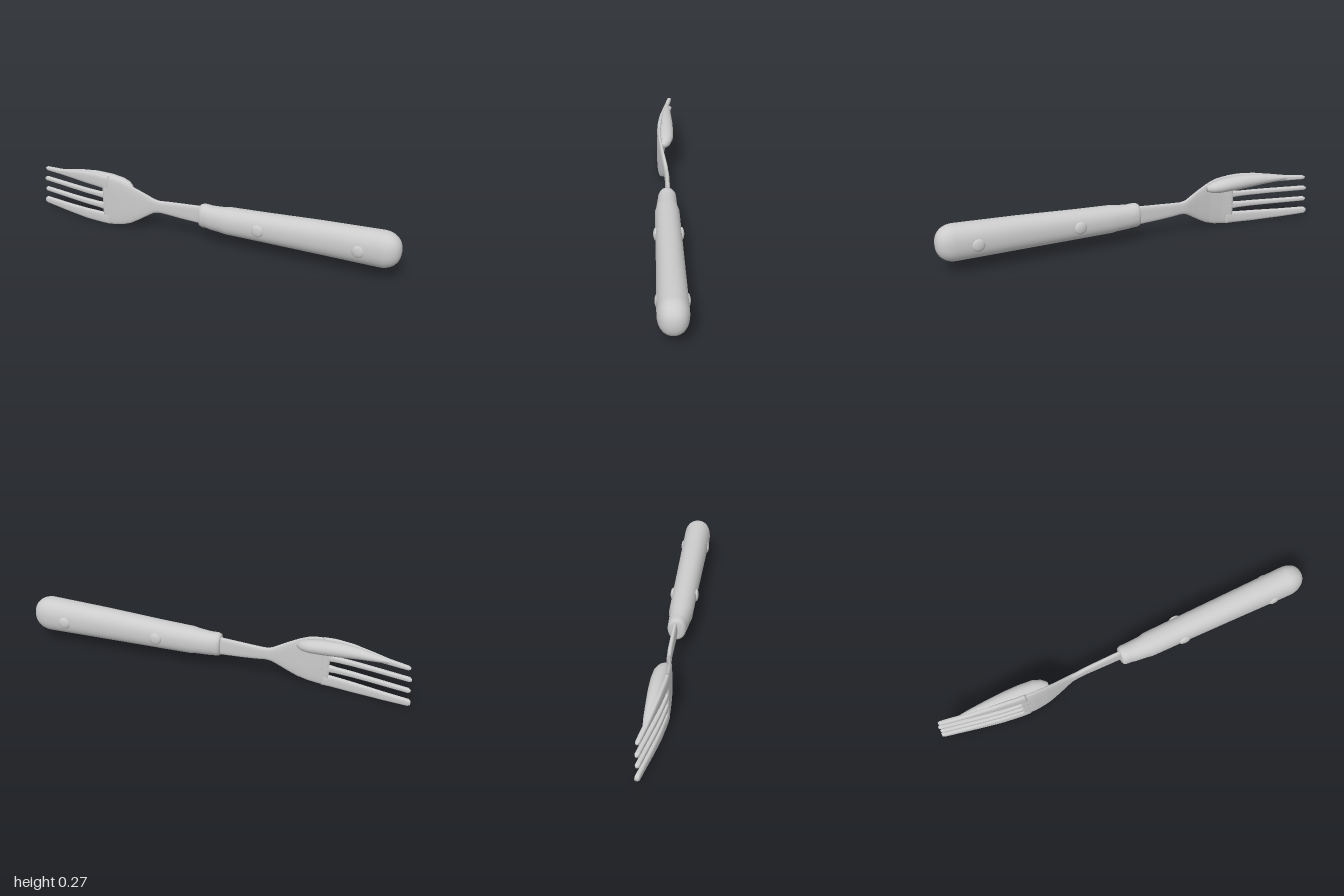
import * as THREE from 'three';

const grey = new THREE.MeshStandardMaterial({ color: 0xcccccc, side: THREE.DoubleSide });

// Linear lookup in rows sorted by their first value
function sample(rows, x) {
  let i = 0;
  while (i < rows.length - 2 && rows[i + 1][0] < x) i++;
  const a = rows[i], b = rows[i + 1];
  const t = THREE.MathUtils.clamp((x - a[0]) / (b[0] - a[0]), 0, 1);
  return a.map((v, k) => v + (b[k] - v) * t);
}

// Closed skin through superellipse rings; each station is [x, yLow, yHigh, zBack, zFront]
function loft(name, stations, power = 1, sides = 32) {
  const pos = [], index = [], n = stations.length;
  const bend = v => Math.sign(v) * Math.abs(v) ** power;
  for (const [x, y0, y1, z0, z1] of stations) {
    for (let j = 0; j < sides; j++) {
      const a = (j / sides) * Math.PI * 2;
      pos.push(x, (y0 + y1) / 2 + bend(Math.cos(a)) * (y1 - y0) / 2,
        (z0 + z1) / 2 + bend(Math.sin(a)) * (z1 - z0) / 2);
    }
  }
  for (let i = 0; i < n - 1; i++) {
    for (let j = 0; j < sides; j++) {
      const k = (j + 1) % sides, p = i * sides, q = p + sides;
      index.push(p + j, p + k, q + j, p + k, q + k, q + j);
    }
  }
  // End caps
  [0, n - 1].forEach(i => {
    const [x, y0, y1, z0, z1] = stations[i], c = pos.length / 3;
    pos.push(x, (y0 + y1) / 2, (z0 + z1) / 2);
    for (let j = 0; j < sides; j++) {
      const p = i * sides + j, q = i * sides + (j + 1) % sides;
      if (i) index.push(c, p, q); else index.push(c, q, p);
    }
  });
  const g = new THREE.BufferGeometry();
  g.setAttribute('position', new THREE.Float32BufferAttribute(pos, 3));
  g.setIndex(index);
  g.computeVertexNormals();
  const mesh = new THREE.Mesh(g, grey);
  mesh.name = name;
  return mesh;
}

// Side-on curve of the metal: [x, z]
const spine = [[-1, -0.062], [-0.9, -0.042], [-0.8, -0.021], [-0.7, -0.002], [-0.6, 0.012],
  [-0.52, 0.017], [-0.45, 0.014], [-0.38, 0.004], [-0.3, -0.01], [-0.22, -0.014], [0, -0.012]];

// Thin metal strip following the spine; outline rows are [x, yLow, yHigh]
function strip(name, outline, thickness, steps = 40) {
  const x0 = outline[0][0], x1 = outline[outline.length - 1][0], stations = [];
  for (let i = 0; i <= steps; i++) {
    const x = x0 + (x1 - x0) * i / steps;
    const [, y0, y1] = sample(outline, x), z = sample(spine, x)[1];
    const half = Math.min(thickness, y1 - y0) / 2;
    stations.push([x, y0, y1, z - half, z + half]);
  }
  return loft(name, stations, 0.7, 24);
}

export function createModel() {
  const fork = new THREE.Group();
  fork.name = 'fork';

  // Handle: collar, small step, then a swelling grip with a domed butt
  const grip = [
    [-0.035, 0.1, 0.19, -0.035, 0.025], [-0.03, 0.088, 0.202, -0.047, 0.036],
    [-0.015, 0.083, 0.207, -0.052, 0.041], [0.01, 0.083, 0.206, -0.052, 0.043],
    [0.025, 0.08, 0.204, -0.053, 0.046], [0.09, 0.076, 0.208, -0.055, 0.054],
    [0.12, 0.073, 0.213, -0.062, 0.06], [0.3, 0.071, 0.22, -0.063, 0.063],
    [0.6, 0.067, 0.235, -0.064, 0.07],
  ];
  for (let i = 0; i <= 10; i++) {
    const a = (i / 10) * Math.PI / 2, s = Math.max(Math.cos(a), 0.02) ** 0.8;
    grip.push([0.91 + 0.09 * Math.sin(a), 0.154 - 0.091 * s, 0.154 + 0.091 * s,
      0.005 - 0.071 * s, 0.005 + 0.073 * s]);
  }
  fork.add(loft('handle', grip, 0.9, 48));

  // Rivet heads on both faces of the handle
  for (const [x, front] of [[0.3, 0.061], [0.81, 0.07]]) {
    for (const z of [-0.062, front]) {
      const rivet = new THREE.Mesh(new THREE.SphereGeometry(1, 20, 14), grey);
      rivet.scale.set(0.032, 0.032, 0.013);
      rivet.position.set(x, 0.146, z);
      rivet.name = 'rivet';
      fork.add(rivet);
    }
  }

  // Neck and flared head in one plate
  fork.add(strip('neckAndHead', [
    [-0.585, 0.004, 0.272], [-0.53, 0.006, 0.27], [-0.48, 0.014, 0.263], [-0.43, 0.03, 0.245],
    [-0.38, 0.057, 0.222], [-0.33, 0.088, 0.197], [-0.3, 0.105, 0.181], [-0.27, 0.11, 0.175],
    [-0.15, 0.1, 0.183], [0, 0.092, 0.192],
  ], 0.024, 60));

  // Four tines, bottom to top
  const tines = [
    [[-1, 0.028, 0.048], [-0.99, 0.02, 0.055], [-0.85, 0.01, 0.056], [-0.7, 0.003, 0.06], [-0.55, 0.004, 0.066]],
    [[-0.995, 0.098, 0.108], [-0.985, 0.092, 0.115], [-0.8, 0.09, 0.116], [-0.62, 0.087, 0.119], [-0.55, 0.08, 0.126]],
    [[-0.995, 0.158, 0.168], [-0.985, 0.153, 0.176], [-0.8, 0.152, 0.177], [-0.62, 0.149, 0.178], [-0.55, 0.142, 0.186]],
    [[-0.985, 0.22, 0.229], [-0.975, 0.214, 0.235], [-0.88, 0.214, 0.243], [-0.8, 0.212, 0.256],
      [-0.7, 0.207, 0.271], [-0.62, 0.204, 0.275], [-0.55, 0.198, 0.272]],
  ];
  tines.forEach((outline, i) => fork.add(strip('tine' + (i + 1), outline, 0.024)));

  // Swollen lump behind the upper edge of the head
  fork.add(loft('backBulge', [
    [-0.88, 0.222, 0.24, -0.05, -0.035], [-0.82, 0.217, 0.252, -0.055, -0.015],
    [-0.74, 0.212, 0.266, -0.058, 0.002], [-0.65, 0.205, 0.275, -0.061, 0.012],
    [-0.56, 0.2, 0.273, -0.061, 0.018], [-0.49, 0.198, 0.264, -0.056, 0.018],
    [-0.45, 0.2, 0.252, -0.042, 0.014], [-0.425, 0.208, 0.238, -0.02, 0.008],
  ], 1, 24));

  return fork;
}
